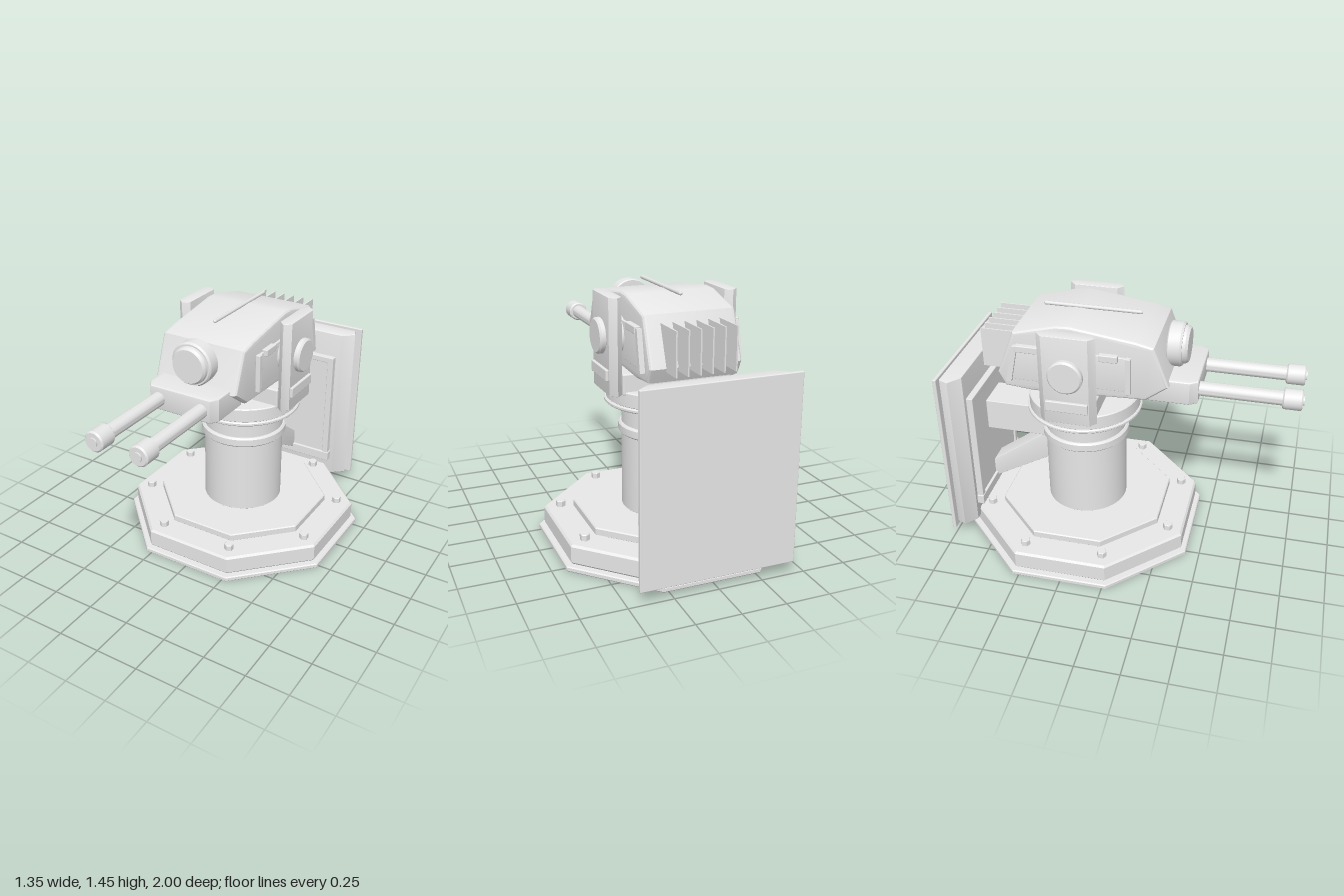
import * as THREE from 'three';
import { toCreasedNormals } from 'three/addons/utils/BufferGeometryUtils.js';
import { RoundedBoxGeometry } from 'three/addons/geometries/RoundedBoxGeometry.js';

const CZ = -0.255; // turning axis of base, column and turntable

export function createModel() {
  const model = new THREE.Group();
  const grey = new THREE.MeshStandardMaterial({ color: 0xe7e7e7 });
  grey.name = 'light grey metal';

  const add = (name, geometry, x = 0, y = 0, z = 0) => {
    const mesh = new THREE.Mesh(geometry, grey);
    mesh.name = name;
    mesh.position.set(x, y, z);
    model.add(mesh);
    return mesh;
  };

  // Box given by its limits, with softened edges
  const box = (name, [x0, x1], [y0, y1], [z0, z1], r = 0.008) =>
    add(name, new RoundedBoxGeometry(x1 - x0, y1 - y0, z1 - z0, 2, r),
      (x0 + x1) / 2, (y0 + y1) / 2, (z0 + z1) / 2);

  // Turned solid with creased edges
  const turned = (profile, sides = 48, start = 0) => toCreasedNormals(new THREE.LatheGeometry(
    profile.map(([r, h]) => new THREE.Vector2(r, h)), sides, start), 0.5);

  // Profile of a disc with chamfered rims
  const disc = (r, h0, h1, c = 0.008) =>
    [[0, h0], [r - c, h0], [r, h0 + c], [r, h1 - c], [r - c, h1], [0, h1]];

  const extrude = (points, depth, bevel) => {
    const shape = new THREE.Shape(points.map(([a, b]) => new THREE.Vector2(a, b)));
    const g = new THREE.ExtrudeGeometry(shape, {
      depth: depth - 2 * bevel, bevelEnabled: bevel > 0, bevelSize: bevel,
      bevelThickness: bevel, bevelOffset: -bevel, bevelSegments: 3,
    });
    g.translate(0, 0, bevel - depth / 2);
    return toCreasedNormals(g, 0.5);
  };
  // Outline of [z, y] points, extruded across x
  const sideExtrude = (points, width, bevel = 0) =>
    extrude(points.map(([z, y]) => [-z, y]), width, bevel).rotateY(Math.PI / 2);
  // Outline of [x, z] points, extruded up from y0 to y1
  const planExtrude = (points, y0, y1, bevel = 0) =>
    extrude(points.map(([x, z]) => [x, -z]), y1 - y0, bevel)
      .rotateX(-Math.PI / 2).translate(0, (y0 + y1) / 2, 0);

  // Octagonal base, stacked in three steps
  const octagon = (name, apothem, y0, y1, c) => add(name,
    turned(disc(apothem / Math.cos(Math.PI / 8), y0, y1, c), 8, Math.PI / 8), 0, 0, CZ);
  octagon('baseSkirt', 0.675, 0, 0.03, 0.006);
  octagon('baseBody', 0.645, 0.03, 0.145, 0.012);
  octagon('baseStep', 0.485, 0.14, 0.187, 0.006);

  // Hexagonal bolts around the base
  for (let i = 0; i < 8; i++) {
    const a = Math.PI / 8 + i * Math.PI / 4;
    add('baseBolt', turned(disc(0.028, 0.14, 0.18, 0.003), 6),
      0.6 * Math.sin(a), 0, CZ + 0.6 * Math.cos(a));
  }

  // Column, collar and turntable
  add('column', turned(disc(0.24, 0.18, 0.82)), 0, 0, CZ);
  add('collar', turned(disc(0.258, 0.63, 0.69, 0.01)), 0, 0, CZ);
  add('turntableRim', turned(disc(0.337, 0.815, 0.838, 0.006)), 0, 0, CZ);
  add('turntable', turned(disc(0.326, 0.835, 0.92, 0.006)), 0, 0, CZ);

  // Yoke base under the head
  box('yokeBase', [-0.3, 0.3], [0.9, 1.02], [-0.41, -0.11], 0.01);

  // Head body
  add('head', sideExtrude([
    [0.285, 1.135], [0.2, 1.365], [0.1, 1.388], [-0.26, 1.437], [-0.34, 1.433],
    [-0.585, 1.37], [-0.685, 1.11], [-0.645, 1.03], [-0.48, 1.015], [0.16, 1.04],
  ], 0.52, 0.022));

  // Slim rail above the head
  add('topRail', new THREE.CapsuleGeometry(0.011, 0.54, 4, 12).rotateX(Math.PI / 2), 0, 1.441, -0.195);

  // Front lens
  add('lens', turned([
    [0, 0.24], [0.119, 0.24], [0.125, 0.246], [0.125, 0.31], [0.117, 0.322], [0.108, 0.322],
    [0.106, 0.338], [0.095, 0.353], [0, 0.353],
  ]).rotateX(Math.PI / 2), 0, 1.275, 0);

  // Gun block with chamfered front corners
  add('gunBlock', planExtrude([
    [-0.22, 0.16], [-0.22, 0.39], [-0.19, 0.435], [0.19, 0.435], [0.22, 0.39], [0.22, 0.16],
  ], 1.02, 1.16, 0.012));

  // Cooling fins at the rear
  for (let i = 0; i < 6; i++) {
    add('coolingFin', new THREE.BoxGeometry(0.008, 0.235, 0.2), -0.165 + i * 0.066, 1.21, -0.7);
  }

  for (const s of [-1, 1]) {
    const span = (a, b) => (s > 0 ? [a, b] : [-b, -a]);
    const sideDisc = (name, r, x0, x1, c) =>
      add(name, turned(disc(r, x0, x1, c)).rotateZ(-s * Math.PI / 2), 0, 1.205, CZ);

    // Barrel and muzzle
    add('barrel', turned(disc(0.04, 0.4, 0.92, 0.004), 32).rotateX(Math.PI / 2), s * 0.135, 1.087, 0);
    add('muzzle', turned([
      [0, 0.885], [0.05, 0.885], [0.058, 0.893], [0.058, 0.984], [0.05, 0.992],
      [0.026, 0.992], [0.026, 1.0], [0, 1.0],
    ], 32).rotateX(Math.PI / 2), s * 0.135, 1.087, 0);

    // Side panel with end strips and short rails
    add('sidePanel', sideExtrude([[0.07, 1.09], [0.07, 1.295], [-0.565, 1.295], [-0.61, 1.09]],
      0.02, 0.004), s * 0.264, 0, 0);
    box('panelStrip', span(0.26, 0.288), [1.08, 1.3], [0.05, 0.08], 0.004);
    add('panelStrip', sideExtrude([[-0.55, 1.3], [-0.58, 1.3], [-0.625, 1.08], [-0.595, 1.08]],
      0.028), s * 0.274, 0, 0);
    for (const z of [[-0.095, 0.01], [-0.56, -0.425]]) {
      box('panelRail', span(0.26, 0.294), [1.27, 1.31], z, 0.005);
    }

    // Yoke arm with ridged edges, pivot and lower plate
    add('yokeArm', planExtrude([
      [0.295, -0.13], [0.331, -0.096], [0.368, -0.13], [0.368, -0.385], [0.331, -0.42], [0.295, -0.385],
    ].map(([x, z]) => [s * x, z]), 0.9, 1.43, 0.003));
    sideDisc('innerPivot', 0.11, 0.25, 0.3, 0.006);
    sideDisc('pivotCap', 0.098, 0.36, 0.402, 0.01);
    box('armPlate', span(0.36, 0.384), [0.98, 1.042], [-0.375, -0.135], 0.005);
  }

  // Rear support arm and diagonal strut
  box('supportArm', [-0.11, 0.11], [0.62, 0.812], [-0.84, -0.35], 0.004);
  add('strut', sideExtrude([[-0.44, 0.645], [-0.44, 0.455], [-0.85, 0.22], [-0.85, 0.345]], 0.13, 0.004));

  // Mounting frame: backing plate with raised rim and a lower lip
  box('mountPlate', [-0.3, 0.3], [0.22, 0.94], [-0.88, -0.842], 0.004);
  for (const x of [[-0.318, -0.28], [0.28, 0.318]]) {
    box('mountRim', x, [0.21, 0.945], [-0.88, -0.83], 0.004);
  }
  box('mountRim', [-0.3, 0.3], [0.91, 0.945], [-0.88, -0.83], 0.004);
  box('mountLip', [-0.325, 0.325], [0.198, 0.258], [-0.88, -0.826], 0.004);

  // Rear shield: tapered body and thin back sheet
  add('shieldBody', planExtrude([
    [-0.345, -0.867], [0.345, -0.867], [0.415, -0.925], [0.39, -0.985], [-0.39, -0.985], [-0.415, -0.925],
  ], 0.09, 1.1, 0.006));
  box('shieldSheet', [-0.436, 0.436], [0.07, 1.118], [-1, -0.978], 0.005);

  return model;
}
